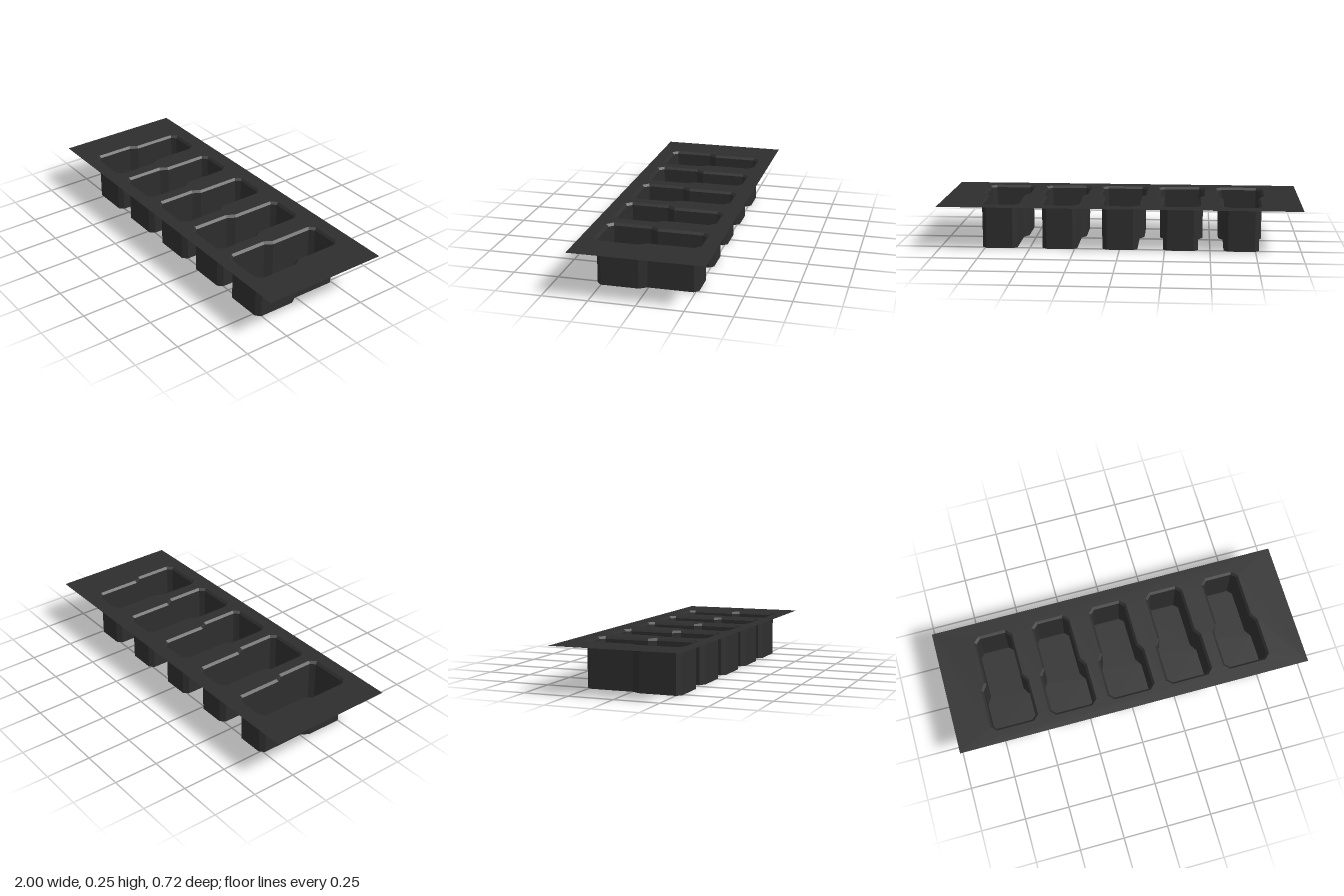
import * as THREE from 'three';

const TOP = 0.25, BEVEL = 0.0125;
const CENTRES = [-2, -1, 0, 1, 2].map((i) => i * 0.335 - 0.002);

// Pocket outline as [x, z], wide at the front and narrow at the back, grown by o
function outline(o) {
  const wide = 0.123 + o, narrow = 0.097 + o, front = 0.275 + o, back = -0.265 - o;
  const c = 0.024 + 0.586 * o, shift = 0.3 * o;
  const right = [
    [wide - c, front], [wide, front - c],
    [wide, 0.046 - shift], [narrow, 0.005 - shift],
    [narrow, back + c], [narrow - c, back],
  ];
  return [...right, ...right.map(([x, z]) => [-x, z]).reverse()];
}

const toVectors = (points, dx = 0) => points.map(([x, z]) => new THREE.Vector2(x + dx, -z));

// Flat horizontal sheet facing up
function sheet(shape, y) {
  return new THREE.ShapeGeometry(shape).rotateX(-Math.PI / 2).translate(0, y, 0);
}

// Band of faces between an upper and a lower outline
function band(upper, yUpper, lower, yLower) {
  const pos = [];
  upper.forEach(([x, z], i) => {
    const j = (i + 1) % upper.length;
    const a = [x, yUpper, z], b = [upper[j][0], yUpper, upper[j][1]];
    const c = [lower[i][0], yLower, lower[i][1]], d = [lower[j][0], yLower, lower[j][1]];
    pos.push(...a, ...b, ...c, ...b, ...d, ...c);
  });
  const geo = new THREE.BufferGeometry();
  geo.setAttribute('position', new THREE.Float32BufferAttribute(pos, 3));
  geo.computeVertexNormals();
  return geo;
}

export function createModel() {
  const group = new THREE.Group();
  group.name = 'pocketTray';
  const plastic = new THREE.MeshStandardMaterial({ color: 0x2e2e2e, side: THREE.DoubleSide, flatShading: true });
  plastic.name = 'blackPlastic';
  const add = (parent, name, geo) => {
    const mesh = new THREE.Mesh(geo, plastic);
    mesh.name = name;
    parent.add(mesh);
  };

  const rim = outline(BEVEL), wall = outline(0);

  // Thin top plate with five openings
  const plate = new THREE.Shape(toVectors([[-1, 0.36], [1, 0.36], [1, -0.36], [-1, -0.36]]));
  for (const x of CENTRES) plate.holes.push(new THREE.Path(toVectors(rim, x)));
  add(group, 'topPlate', sheet(plate, TOP));

  // Pockets: bevelled rim, straight walls and floor
  const rimGeo = band(rim, TOP, wall, TOP - BEVEL);
  const wallGeo = band(wall, TOP - BEVEL, wall, 0);
  const floorGeo = sheet(new THREE.Shape(toVectors(wall)), 0);
  CENTRES.forEach((x, i) => {
    const pocket = new THREE.Group();
    pocket.name = `pocket${i + 1}`;
    pocket.position.x = x;
    add(pocket, 'bevelledRim', rimGeo);
    add(pocket, 'walls', wallGeo);
    add(pocket, 'floor', floorGeo);
    group.add(pocket);
  });
  return group;
}
